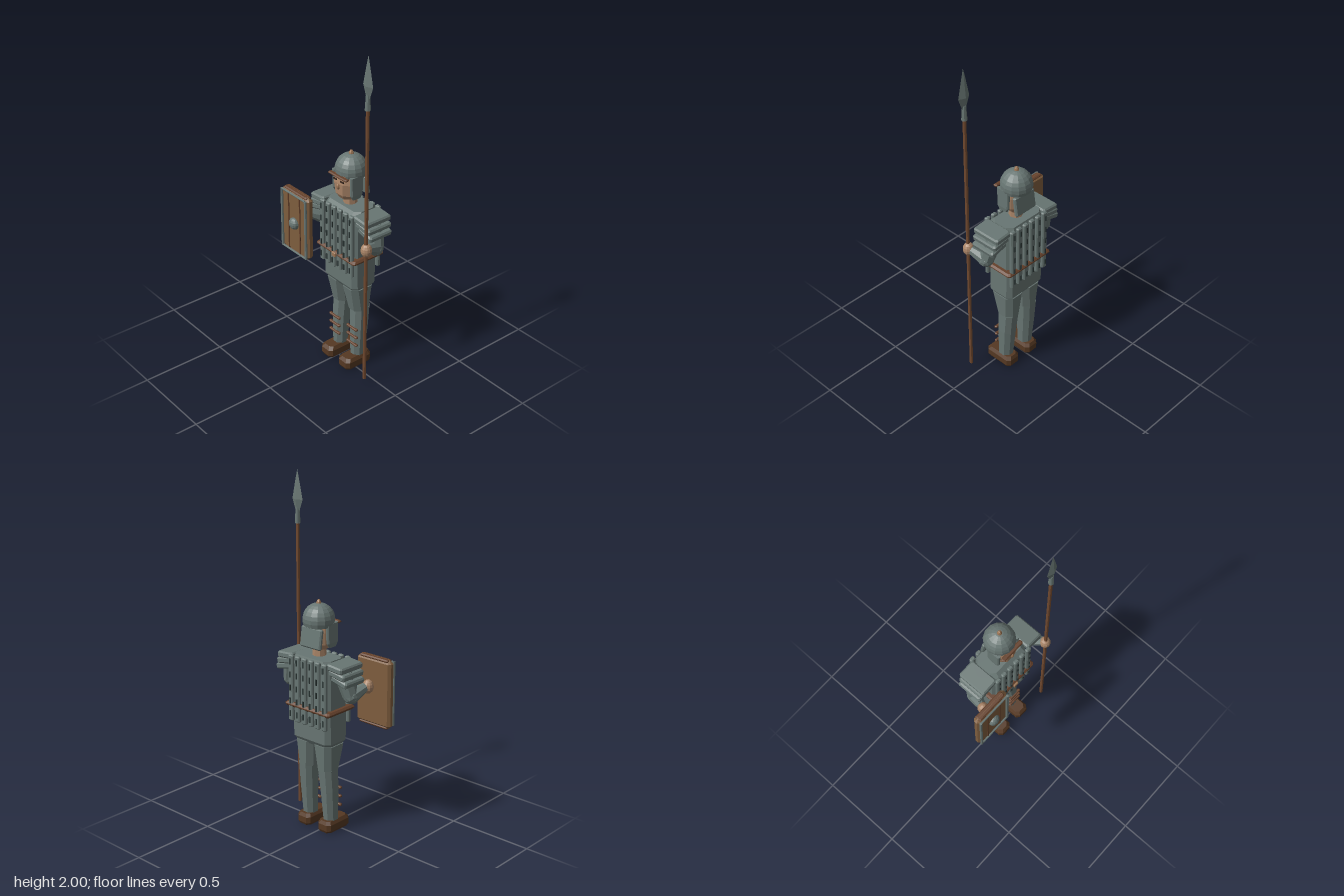
import * as THREE from 'three';

const mat = (name, color, extra = {}) =>
  Object.assign(new THREE.MeshStandardMaterial({ color, flatShading: true, ...extra }), { name });

// Chamfered solid through rings [y, cx, cz, halfWidth, halfDepth], bottom to top
function loft(rings, c = 0.02) {
  const pos = [];
  const loops = rings.map(([y, x, z, w, d]) => {
    const k = Math.min(c, w * 0.6, d * 0.6);
    return [[w, -d + k], [w, d - k], [w - k, d], [-w + k, d], [-w, d - k], [-w, -d + k], [-w + k, -d], [w - k, -d]]
      .map(([px, pz]) => [x + px, y, z + pz]);
  });
  const last = rings.length - 1;
  const centre = (r) => [rings[r][1], rings[r][0], rings[r][2]];
  for (let i = 0; i < 8; i++) {
    const j = (i + 1) % 8;
    for (let r = 0; r < last; r++) {
      const a = loops[r], b = loops[r + 1];
      pos.push(...a[i], ...b[i], ...b[j], ...a[i], ...b[j], ...a[j]);
    }
    pos.push(...centre(0), ...loops[0][i], ...loops[0][j]);
    pos.push(...centre(last), ...loops[last][j], ...loops[last][i]);
  }
  const g = new THREE.BufferGeometry();
  g.setAttribute('position', new THREE.Float32BufferAttribute(pos, 3));
  g.computeVertexNormals();
  return g;
}

// Block with bevelled edges all round, centred on the origin
function block(w, h, d, b = 0.008) {
  return loft([
    [-h / 2, 0, 0, w / 2 - b, d / 2 - b], [-h / 2 + b, 0, 0, w / 2, d / 2],
    [h / 2 - b, 0, 0, w / 2, d / 2], [h / 2, 0, 0, w / 2 - b, d / 2 - b],
  ], b);
}

export function createModel() {
  const steel = mat('steel', 0x687673);
  const darkSteel = mat('dark steel', 0x2f3a39);
  const skin = mat('skin', 0xa98467);
  const leather = mat('leather', 0x65412b);
  const boot = mat('boot leather', 0x553822);
  const wood = mat('shaft wood', 0x71492f);
  const board = mat('shield wood', 0x7e5d3e);
  const bronze = mat('bronze', 0x9a7454);
  const dark = mat('dark brown', 0x35251c);

  const model = new THREE.Group();
  model.name = 'spearman';
  const body = new THREE.Group();
  body.name = 'body';
  body.position.x = 0.04;
  model.add(body);

  const add = (parent, name, geo, material, x = 0, y = 0, z = 0) => {
    const m = new THREE.Mesh(geo, material);
    m.name = name;
    m.position.set(x, y, z);
    parent.add(m);
    return m;
  };
  const box = (w, h, d) => new THREE.BoxGeometry(w, h, d);
  const limb = (parent, name, a, b, ra, rb, material) => {
    const A = new THREE.Vector3(...a), B = new THREE.Vector3(...b);
    const m = add(parent, name, new THREE.CylinderGeometry(rb, ra, A.distanceTo(B), 8), material);
    m.position.copy(A).add(B).multiplyScalar(0.5);
    m.quaternion.setFromUnitVectors(new THREE.Vector3(0, 1, 0), B.sub(A).normalize());
    return m;
  };

  // Torso and skirt
  add(body, 'torso', loft([
    [0.68, 0, -0.05, 0.138, 0.09], [0.9, 0, -0.05, 0.138, 0.09],
    [1.0, 0, -0.05, 0.135, 0.09], [1.03, 0, -0.06, 0.13, 0.07],
  ], 0.03), steel);
  add(body, 'skirt', loft([
    [0.52, 0, -0.05, 0.12, 0.065], [0.55, 0, -0.05, 0.14, 0.085], [0.72, 0, -0.05, 0.138, 0.088],
  ], 0.025), steel);

  // Vertical armour strips with hinges, front and back
  for (const side of [1, -1]) {
    for (let i = 0; i < 6; i++) {
      const x = (i - 2.5) * 0.049;
      const z = -0.05 + side * 0.094;
      add(body, 'armourStrip', block(0.034, 0.385, 0.024, 0.006), steel, x, 0.833, z);
      for (let k = 0; k < 5; k++)
        add(body, 'stripHinge', box(0.008, 0.034, 0.008), darkSteel, x, 0.685 + k * 0.076, z + side * 0.013);
    }
  }

  // Belt and buckle
  add(body, 'belt', block(0.33, 0.026, 0.222, 0.01), leather, 0, 0.737, -0.049);
  add(body, 'buckle', block(0.034, 0.028, 0.012, 0.004), bronze, 0, 0.737, 0.068);

  // Legs, arms and shoulder guards, mirrored
  for (const s of [1, -1]) {
    const legX = s * 0.07;
    add(body, 'thigh', loft([
      [0.372, legX, -0.06, 0.052, 0.056], [0.53, legX - s * 0.003, -0.05, 0.066, 0.078],
    ], 0.03), steel);
    add(body, 'shin', loft([
      [0.06, s * 0.078, -0.046, 0.038, 0.042], [0.25, s * 0.077, -0.055, 0.046, 0.05],
      [0.38, s * 0.073, -0.063, 0.05, 0.053],
    ], 0.025), steel);
    for (const y of [0.147, 0.2, 0.253])
      add(body, 'shinStrap', block(0.09, 0.015, 0.018, 0.004), leather, s * 0.077, y, -0.004);
    add(body, 'boot', loft([
      [0, s * 0.078, -0.023, 0.04, 0.084], [0.015, s * 0.078, -0.023, 0.048, 0.092],
      [0.05, s * 0.078, -0.023, 0.048, 0.092], [0.07, s * 0.078, -0.026, 0.036, 0.08],
    ], 0.018), boot);

    for (let i = 0; i < 3; i++) {
      const plate = add(body, 'shoulderPlate', block(0.112, 0.036, 0.18 - i * 0.012, 0.008), steel,
        s * (0.182 + i * 0.012), 1.006 - i * 0.035, -0.05);
      plate.rotation.z = -s * (0.08 + i * 0.09);
    }
    limb(body, 'upperArm', [s * 0.185, 0.97, -0.06], [s * 0.222, 0.845, -0.045], 0.055, 0.044, steel);
    add(body, 'elbow', new THREE.IcosahedronGeometry(0.045, 1), steel, s * 0.224, 0.842, -0.042);
    limb(body, 'forearm', [s * 0.224, 0.84, -0.045], [s * 0.255, 0.88, 0.04], 0.044, 0.026, steel);
    add(body, 'hand', new THREE.SphereGeometry(0.032, 12, 8), skin, s * 0.26, 0.88, 0.055).scale.y = 1.25;
  }

  // Neck, head and face
  add(body, 'neck', new THREE.CylinderGeometry(0.036, 0.04, 0.09, 8), skin, 0, 1.055, -0.05);
  add(body, 'head', loft([
    [1.07, 0, -0.04, 0.042, 0.05], [1.1, 0, -0.035, 0.06, 0.064],
    [1.17, 0, -0.035, 0.067, 0.07], [1.23, 0, -0.04, 0.064, 0.064],
  ], 0.03), skin);
  add(body, 'nose', new THREE.SphereGeometry(0.011, 8, 6), bronze, 0, 1.152, 0.036).scale.y = 1.7;
  for (const s of [1, -1]) {
    add(body, 'eye', box(0.026, 0.008, 0.006), dark, s * 0.029, 1.188, 0.034);
    // Cheek guards
    const guard = add(body, 'cheekGuard', loft([
      [1.085, 0, -0.03, 0.007, 0.026], [1.11, 0, -0.03, 0.011, 0.04], [1.22, 0, -0.03, 0.011, 0.043],
    ], 0.006), steel);
    guard.position.x = s * 0.074;
  }

  // Helmet with brim, neck guard and knob
  const dome = new THREE.SphereGeometry(0.09, 14, 8, 0, Math.PI * 2, 0, Math.PI * 0.62);
  add(body, 'helmetDome', dome, steel, 0, 1.235, -0.055);
  add(body, 'helmetBase', new THREE.CylinderGeometry(0.084, 0.076, 0.014, 14), steel, 0, 1.205, -0.055);
  add(body, 'helmetBrim', block(0.152, 0.014, 0.026, 0.005), leather, 0, 1.213, 0.034);
  const neckGuard = add(body, 'neckGuard', block(0.15, 0.115, 0.025, 0.007), steel, 0, 1.14, -0.112);
  neckGuard.rotation.x = 0.15;
  add(body, 'helmetKnob', new THREE.LatheGeometry(
    [[0.019, 0], [0.015, 0.012], [0.012, 0.025], [0.007, 0.034], [0, 0.037]].map((p) => new THREE.Vector2(...p)), 8),
  bronze, 0, 1.308, -0.055);

  // Shield: bevelled board, darker slats, steel rim and boss
  const shield = new THREE.Group();
  shield.name = 'shield';
  shield.position.set(-0.223, 0.84, 0.112);
  model.add(shield);
  add(shield, 'shieldBoard', block(0.236, 0.4, 0.046, 0.022), board);
  for (const s of [1, -1]) {
    add(shield, 'shieldSlat', box(0.008, 0.36, 0.006), leather, s * 0.05, 0, 0.024);
    add(shield, 'shieldSideRim', new THREE.CylinderGeometry(0.008, 0.008, 0.37, 8), steel, s * 0.106, 0, 0.028);
    const rim = add(shield, 'shieldEndRim', new THREE.CylinderGeometry(0.006, 0.006, 0.2, 8), steel, 0, s * 0.183, 0.028);
    rim.rotation.z = Math.PI / 2;
    add(shield, 'shieldEndTrim', block(0.2, 0.016, 0.04, 0.006), leather, 0, s * 0.192, 0);
  }
  const boss = add(shield, 'shieldBoss', new THREE.SphereGeometry(0.036, 12, 8), steel, 0, 0, 0.026);
  boss.scale.z = 0.78;

  // Spear: shaft, socket and flattened four-sided blade
  const spear = new THREE.Group();
  spear.name = 'spear';
  spear.position.set(0.3, 0, 0.058);
  model.add(spear);
  add(spear, 'spearShaft', new THREE.CylinderGeometry(0.01, 0.01, 1.69, 8), wood, 0, 0.875, 0);
  add(spear, 'spearSocket', new THREE.CylinderGeometry(0.011, 0.016, 0.085, 8), steel, 0, 1.745, 0);
  const blade = new THREE.LatheGeometry(
    [[0, 1.75], [0.012, 1.765], [0.038, 1.835], [0.018, 1.925], [0, 2]].map((p) => new THREE.Vector2(...p)), 4);
  add(spear, 'spearBlade', blade, steel).scale.z = 0.42;

  return model;
}
